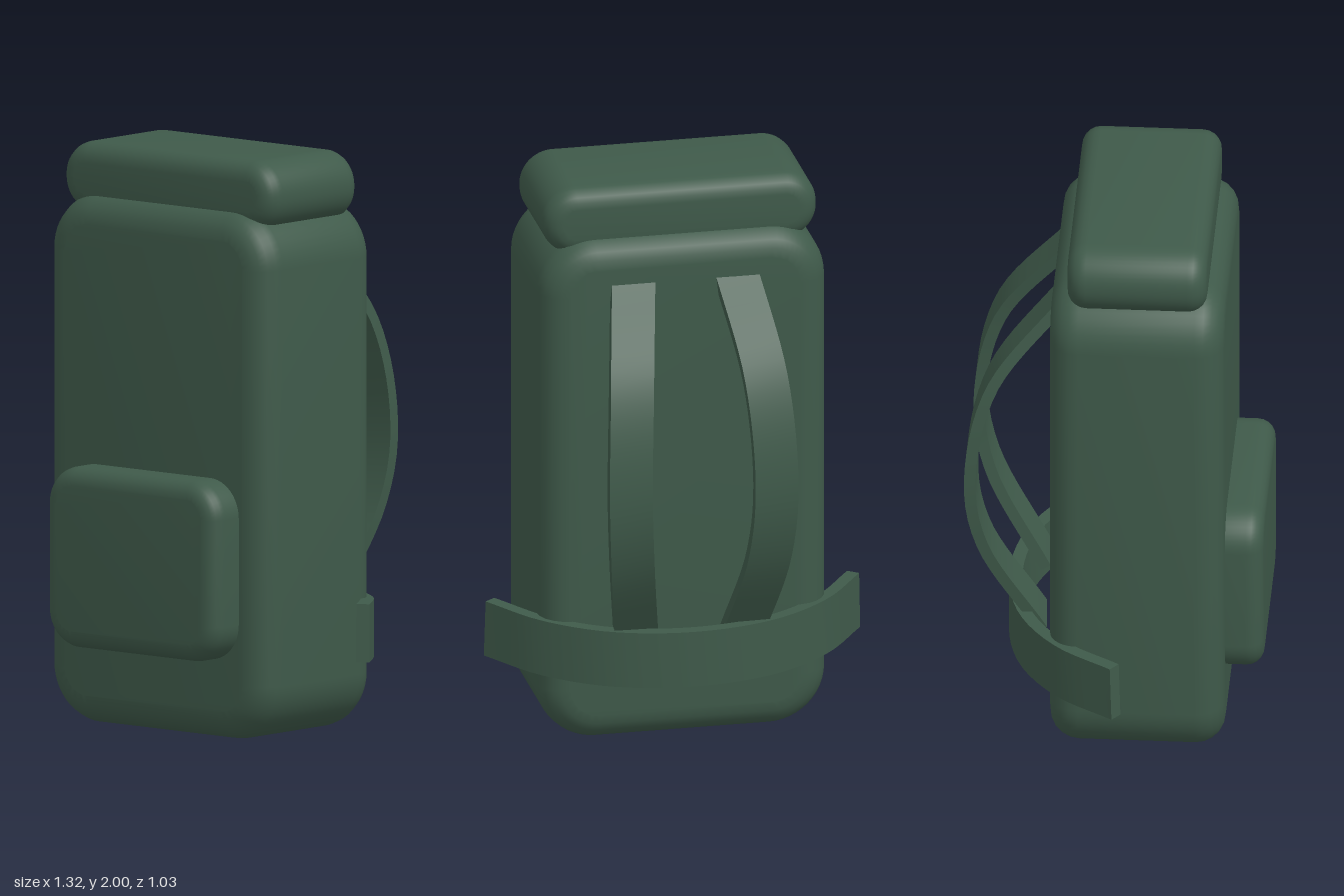
import * as THREE from 'three';
import { toCreasedNormals } from 'three/addons/utils/BufferGeometryUtils.js';

const V = (x, y, z) => new THREE.Vector3(x, y, z);

// Padded box: rounded outline in x/y, softer bevel along z
function paddedBox(x, y0, y1, z0, z1, radius, bevel) {
  const w = x - bevel, b = y0 + bevel, t = y1 - bevel, r = radius - bevel;
  const s = new THREE.Shape();
  s.moveTo(-w + r, b);
  s.absarc(w - r, b + r, r, -Math.PI / 2, 0);
  s.absarc(w - r, t - r, r, 0, Math.PI / 2);
  s.absarc(-w + r, t - r, r, Math.PI / 2, Math.PI);
  s.absarc(-w + r, b + r, r, Math.PI, Math.PI * 1.5);
  const g = new THREE.ExtrudeGeometry(s, {
    depth: z1 - z0 - 2 * bevel, bevelThickness: bevel, bevelSize: bevel,
    bevelSegments: 5, curveSegments: 6,
  });
  g.translate(0, 0, z0 + bevel);
  return toCreasedNormals(g, 0.6);
}

// Flat webbing swept along a curve, its width kept along the given axis
function webbing(points, axis, width, thickness, steps) {
  const curve = new THREE.CatmullRomCurve3(points);
  const pos = [], index = [];
  for (let i = 0; i <= steps; i++) {
    const p = curve.getPointAt(i / steps), t = curve.getTangentAt(i / steps);
    const w = axis.clone().addScaledVector(t, -axis.dot(t)).normalize();
    const n = t.clone().cross(w);
    for (const [a, b] of [[-1, -1], [1, -1], [1, 1], [-1, 1]]) {
      const c = p.clone().addScaledVector(w, a * width / 2).addScaledVector(n, b * thickness / 2);
      pos.push(c.x, c.y, c.z);
    }
  }
  for (let i = 0; i < steps; i++) {
    for (let j = 0; j < 4; j++) {
      const a = i * 4 + j, b = i * 4 + (j + 1) % 4;
      index.push(a, b, b + 4, a, b + 4, a + 4);
    }
  }
  const e = steps * 4;
  index.push(0, 3, 2, 0, 2, 1, e, e + 1, e + 2, e, e + 2, e + 3);
  const g = new THREE.BufferGeometry();
  g.setAttribute('position', new THREE.Float32BufferAttribute(pos, 3));
  g.setIndex(index);
  return toCreasedNormals(g, 0.6);
}

export function createModel() {
  const group = new THREE.Group();
  const canvas = new THREE.MeshStandardMaterial({ color: 0x3f5a4a });
  canvas.name = 'green canvas';
  const add = (name, geometry) => {
    const mesh = new THREE.Mesh(geometry, canvas);
    mesh.name = name;
    group.add(mesh);
  };

  // Main bag, lid and front pocket
  add('body', paddedBox(0.503, 0, 1.83, -0.213, 0.385, 0.2, 0.1));
  add('lid', paddedBox(0.48, 1.757, 2, -0.153, 0.325, 0.118, 0.065));
  add('frontPocket', paddedBox(0.388, 0.28, 0.905, 0.27, 0.515, 0.13, 0.06));

  // Shoulder straps, bowed away from the back
  for (const [name, s] of [['leftShoulderStrap', 1], ['rightShoulderStrap', -1]]) {
    const path = [
      V(0.175 * s, 1.7, -0.165), V(0.235 * s, 1.36, -0.42), V(0.255 * s, 1.0, -0.493),
      V(0.24 * s, 0.74, -0.452), V(0.183 * s, 0.38, -0.255),
    ];
    add(name, webbing(path, V(1, 0, 0), 0.15, 0.04, 28));
  }

  // Hip belt curving round the back to free ends at the sides
  const belt = [
    V(-0.638, 0.365, 0.025), V(-0.48, 0.355, -0.175), V(-0.27, 0.348, -0.308), V(0, 0.345, -0.355),
    V(0.27, 0.348, -0.308), V(0.48, 0.355, -0.175), V(0.638, 0.365, 0.025),
  ];
  add('hipBelt', webbing(belt, V(0, 1, 0), 0.2, 0.046, 30));

  return group;
}
